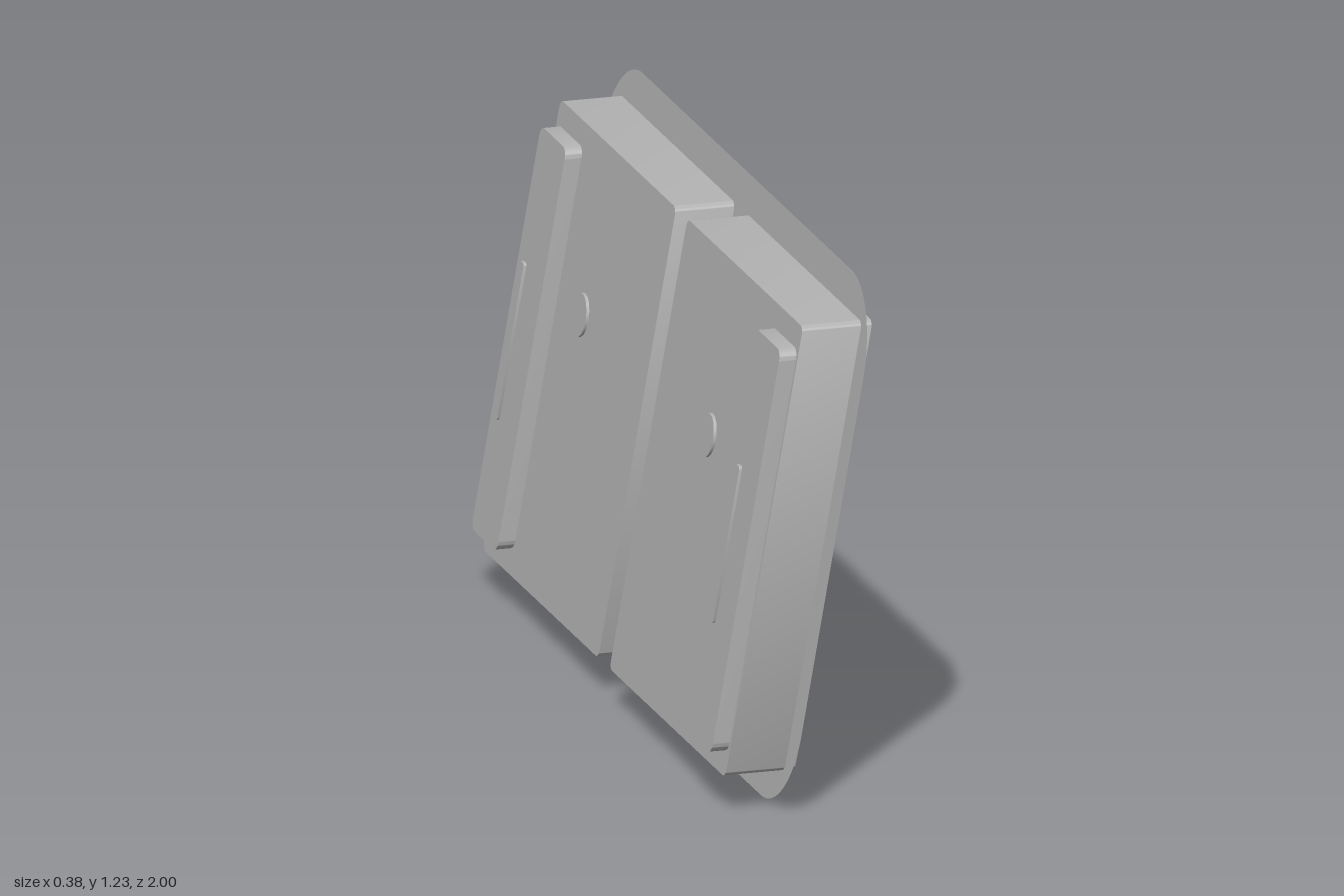
import * as THREE from 'three';
import { toCreasedNormals } from 'three/addons/utils/BufferGeometryUtils.js';

const LEAN = 0.176; // sideways lean per unit of height

export function createModel() {
  const group = new THREE.Group();
  const grey = new THREE.MeshStandardMaterial({ color: 0xb2b2b2, side: THREE.DoubleSide });
  grey.name = 'plain grey';

  // rounded rectangle in the z-y plane, centred on z
  function outline(z, width, y0, y1, r) {
    const a = -z - width / 2, b = -z + width / 2;
    const s = new THREE.Shape();
    s.moveTo(a + r, y0);
    s.lineTo(b - r, y0);
    s.absarc(b - r, y0 + r, r, -Math.PI / 2, 0);
    s.lineTo(b, y1 - r);
    s.absarc(b - r, y1 - r, r, 0, Math.PI / 2);
    s.lineTo(a + r, y1);
    s.absarc(a + r, y1 - r, r, Math.PI / 2, Math.PI);
    s.lineTo(a, y0 + r);
    s.absarc(a + r, y0 + r, r, Math.PI, Math.PI * 1.5);
    return s;
  }

  // turn a z-y outline to face x, lean it over and add it; x is its back at y = 0
  function addPart(name, geometry, x) {
    geometry.rotateY(Math.PI / 2).translate(x, 0, 0);
    geometry.applyMatrix4(new THREE.Matrix4().set(
      1, LEAN, 0, 0,
      0, 1, 0, 0,
      0, 0, 1, 0,
      0, 0, 0, 1));
    const mesh = new THREE.Mesh(toCreasedNormals(geometry, 0.6), grey);
    mesh.name = name;
    group.add(mesh);
  }

  const slab = (shape, depth) => new THREE.ExtrudeGeometry(shape, { depth, bevelEnabled: false, curveSegments: 8 });

  // thin flange sheet with large round corners
  addPart('flange', new THREE.ShapeGeometry(outline(0, 2, 0, 1.225, 0.2), 16), -0.036);

  for (const side of [1, -1]) {
    const prefix = side > 0 ? 'front' : 'rear';
    // main body passing through the flange
    addPart(prefix + 'Panel', slab(outline(side * 0.485, 0.884, 0.09, 1.14, 0.02), 0.165), -0.176);
    // raised outer strip on the back
    addPart(prefix + 'Strip', slab(outline(side * 0.82, 0.195, 0.145, 1.085, 0.025), 0.05), -0.216);
    // slim handle standing off the strip
    addPart(prefix + 'Handle', slab(outline(side * 0.825, 0.032, 0.43, 0.795, 0.008), 0.007), -0.239);
    // round disc standing off the panel
    const disc = new THREE.Shape().absarc(-side * 0.487, 0.765, 0.05, 0, Math.PI * 2);
    addPart(prefix + 'Disc', slab(disc, 0.007), -0.203);
  }
  return group;
}
